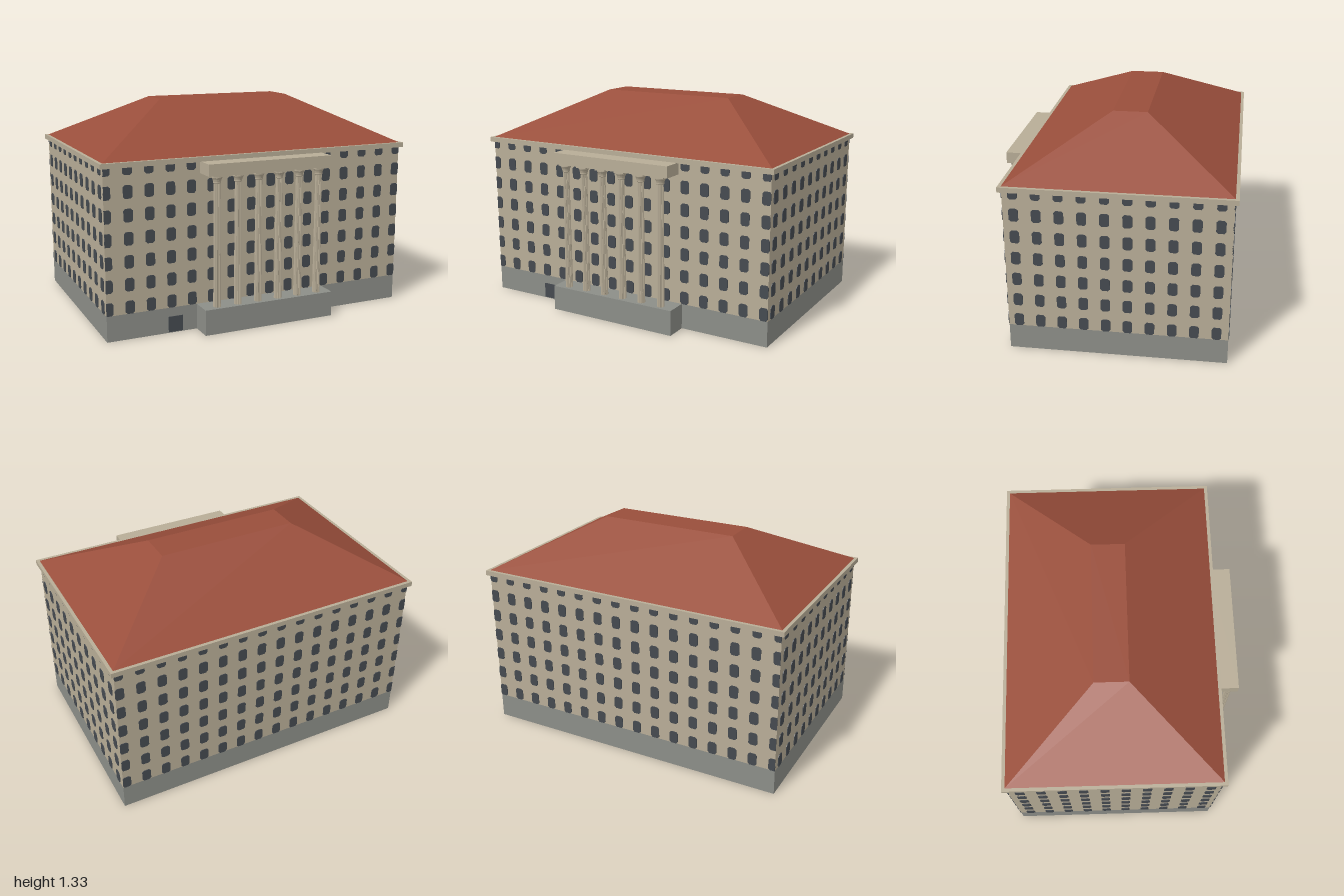
import * as THREE from 'three';
import { mergeGeometries } from 'three/addons/utils/BufferGeometryUtils.js';

const mat = (name, color, side = THREE.FrontSide) => {
  const m = new THREE.MeshStandardMaterial({ color, side, flatShading: true });
  m.name = name;
  return m;
};

export function createModel() {
  const stone = mat('warm stone', 0xb8ad97, THREE.DoubleSide);
  const plinth = mat('grey plinth', 0x8c8e88, THREE.DoubleSide);
  const tile = mat('red roof tile', 0x994e3b);
  const glass = mat('dark glass', 0x454a50, THREE.DoubleSide);

  const model = new THREE.Group();
  model.name = 'building';
  const add = (name, geometry, material, parent = model) => {
    const mesh = new THREE.Mesh(geometry, material);
    mesh.name = name;
    parent.add(mesh);
    return mesh;
  };

  // Box given by its limits; openings drops the listed faces (2 = top, 3 = bottom)
  const box = (x0, x1, y0, y1, z0, z1, openings = []) => {
    const g = new THREE.BoxGeometry(x1 - x0, y1 - y0, z1 - z0);
    g.translate((x0 + x1) / 2, (y0 + y1) / 2, (z0 + z1) / 2);
    const keep = Array.from(g.index.array).filter((_, i) => !openings.includes(Math.floor(i / 6)));
    g.setIndex(keep);
    g.clearGroups();
    return g;
  };

  const X = 0.98, ZF = 0.585, ZB = -0.7, BASE = 0.155, TOP = 1.01;

  // Hollow body
  add('base', box(-X, X, 0, BASE, ZB, ZF, [2, 3]), plinth);
  add('walls', box(-X, X, BASE, TOP, ZB, ZF, [2, 3]), stone);
  add('eaves', box(-1, 1, TOP, 1.04, -0.72, 0.605), stone);

  // Hipped roof with a flat top: a box whose upper corners are drawn in
  const roof = box(-X, X, 1.04, 1.325, ZB, ZF, [3]);
  const rp = roof.attributes.position;
  for (let i = 0; i < rp.count; i++) {
    if (rp.getY(i) > 1.2) {
      rp.setX(i, Math.sign(rp.getX(i)) * 0.44);
      rp.setZ(i, rp.getZ(i) > 0 ? 0.042 : -0.165);
    }
  }
  roof.computeVertexNormals();
  add('roof', roof, tile);

  // Windows: chamfered plates, trimmed at the wall ends and under the eaves
  const windowPlate = (u, v, lo, hi) => {
    const w = 0.0275, h = 0.039, c = 0.011;
    const outline = [[-w + c, -h], [w - c, -h], [w, -h + c], [w, h - c],
      [w - c, h], [-w + c, h], [-w, h - c], [-w, -h + c]];
    const points = outline.map(([a, b]) => new THREE.Vector2(
      THREE.MathUtils.clamp(u + a, lo, hi), Math.min(v + b, TOP)));
    const g = new THREE.ExtrudeGeometry(new THREE.Shape(points), { depth: 0.008, bevelEnabled: false });
    return g.translate(0, 0, -0.004);
  };
  const windowWall = (start, count, lo, hi) => {
    const plates = [];
    for (let row = 0; row < 7; row++) {
      for (let col = 0; col < count; col++) {
        plates.push(windowPlate(start + col * 0.1282, 0.195 + row * 0.135, lo, hi));
      }
    }
    return mergeGeometries(plates);
  };
  const longWall = windowWall(-0.967, 16, -X, X);
  add('frontWindows', longWall, glass).position.z = ZF;
  add('backWindows', longWall, glass).position.z = ZB;
  const sideWall = windowWall(-0.523, 10, -ZF, -ZB).rotateY(Math.PI / 2);
  add('leftWindows', sideWall, glass).position.x = X;
  add('rightWindows', sideWall, glass).position.x = -X;

  add('basementDoor', box(-0.605, -0.515, 0.005, 0.1, ZF - 0.003, ZF + 0.004), glass);

  // Portico
  const portico = new THREE.Group();
  portico.name = 'portico';
  model.add(portico);
  add('porticoBase', box(-0.425, 0.425, 0, BASE, ZF, 0.72, [3, 5]), plinth, portico);
  add('entablature', box(-0.4, 0.4, 0.943, 1.013, ZF, 0.715), stone, portico);

  // Fluted, tapering shaft: every other edge is pushed inwards
  const shaft = new THREE.CylinderGeometry(0.0195, 0.023, 0.75, 32, 1, true);
  const sp = shaft.attributes.position;
  for (let i = 0; i < sp.count; i++) {
    const k = (i % 33) % 2 ? 0.86 : 1;
    sp.setX(i, sp.getX(i) * k);
    sp.setZ(i, sp.getZ(i) * k);
  }
  shaft.translate(0, BASE + 0.375, 0);
  shaft.computeVertexNormals();

  const bell = new THREE.LatheGeometry([[0.019, 0.895], [0.023, 0.899], [0.023, 0.907],
    [0.026, 0.918], [0.032, 0.93], [0.032, 0.938]].map(([r, y]) => new THREE.Vector2(r, y)), 16);
  const abacus = box(-0.034, 0.034, 0.935, 0.944, -0.03, 0.03);

  for (let i = 0; i < 6; i++) {
    const column = new THREE.Group();
    column.name = 'column';
    column.position.set((i - 2.5) * 0.134, 0, 0.68);
    add('shaft', shaft, stone, column);
    add('capital', bell, stone, column);
    add('abacus', abacus, stone, column);
    portico.add(column);
  }
  return model;
}
